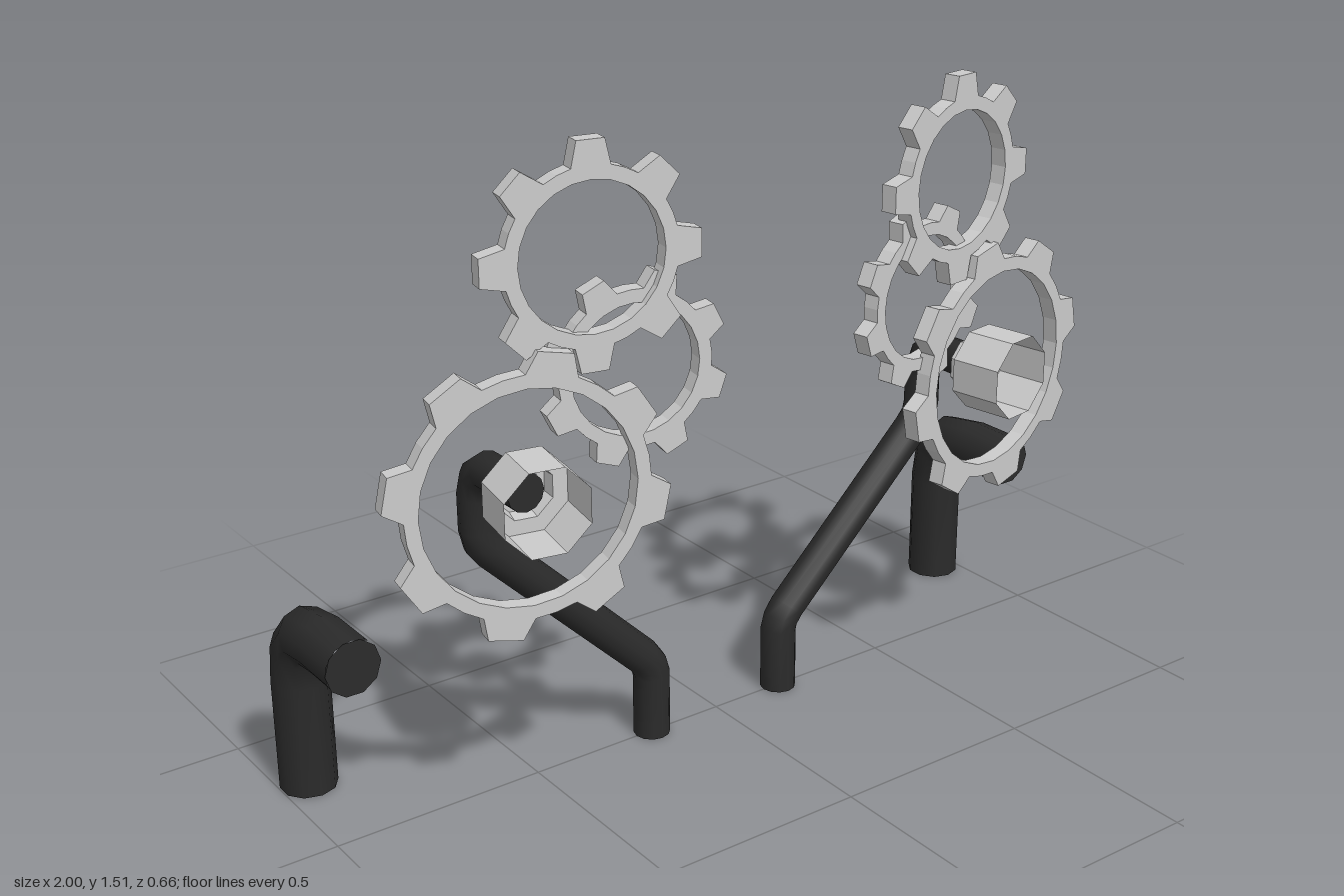
import * as THREE from 'three';

const TILT = THREE.MathUtils.degToRad(10);
const grey = new THREE.MeshStandardMaterial({ color: 0xcccccc, flatShading: true, side: THREE.DoubleSide });
const dark = new THREE.MeshStandardMaterial({ color: 0x2b2b2b });

// Curve through given points, with one tube ring at each point
class Bend extends THREE.Curve {
  constructor(points) {
    super();
    this.points = points.map(p => new THREE.Vector3(...p));
  }
  getPoint(t) {
    return this.points[Math.round(t * (this.points.length - 1))].clone();
  }
  getPointAt(t) {
    return this.getPoint(t);
  }
  getTangentAt(t) {
    const p = this.points, i = Math.round(t * (p.length - 1));
    const dir = (a, b) => b.clone().sub(a).normalize();
    const v = new THREE.Vector3();
    if (i > 0) v.add(dir(p[i - 1], p[i]));
    if (i < p.length - 1) v.add(dir(p[i], p[i + 1]));
    return v.normalize();
  }
}

// Round bent bar with capped ends
function pipe(name, points, radius, sides) {
  const group = new THREE.Group();
  group.name = name;
  const curve = new Bend(points), n = points.length - 1;
  const bar = new THREE.Mesh(new THREE.TubeGeometry(curve, n, radius, sides), dark);
  bar.name = name + 'Bar';
  group.add(bar);
  for (const t of [0, 1]) {
    const cap = new THREE.Mesh(new THREE.CircleGeometry(radius, sides), dark);
    const out = curve.getTangentAt(t).multiplyScalar(t ? 1 : -1);
    cap.name = name + 'Cap';
    cap.position.copy(curve.getPoint(t));
    cap.quaternion.setFromUnitVectors(new THREE.Vector3(0, 0, 1), out);
    group.add(cap);
  }
  return group;
}

// Open ring gear with eight tapered teeth
function gear(name, [x, y, z], { tip, root, hole, tipWidth, rootWidth, phase }) {
  const teeth = 8, depth = 0.038, pts = [];
  for (let i = 0; i < teeth; i++) {
    const a = THREE.MathUtils.degToRad(phase) + i / teeth * Math.PI * 2;
    const at = (r, da) => pts.push(new THREE.Vector2(r * Math.cos(a + da), r * Math.sin(a + da)));
    const b = rootWidth / 2 / root, c = tipWidth / 2 / tip;
    at(root, -b);
    at(tip, -c);
    at(tip, c);
    at(root, b);
    at(root, Math.PI / teeth);
  }
  const shape = new THREE.Shape(pts);
  const bore = new THREE.Path();
  bore.absarc(0, 0, hole, 0, Math.PI * 2, true);
  shape.holes.push(bore);
  const geometry = new THREE.ExtrudeGeometry(shape, { depth, bevelEnabled: false, curveSegments: 12 });
  geometry.translate(0, 0, -depth / 2);
  const mesh = new THREE.Mesh(geometry, grey);
  mesh.name = name;
  mesh.position.set(x, y, z);
  mesh.rotation.y = TILT;
  return mesh;
}

// Eight-sided open cup with a narrower collar behind it
function hub() {
  const profile = [[0.043, -0.035], [0.06, -0.035], [0.065, 0], [0.1, 0], [0.1, 0.125]]
    .map(p => new THREE.Vector2(...p));
  const geometry = new THREE.LatheGeometry(profile, 8, Math.PI / 8);
  geometry.rotateX(Math.PI / 2);
  const mesh = new THREE.Mesh(geometry, grey);
  mesh.name = 'hub';
  mesh.position.set(0.622, 0.79, 0.192);
  mesh.rotation.y = TILT;
  return mesh;
}

// Everything on the model's left (+x)
function buildSide() {
  const side = new THREE.Group();
  side.add(
    gear('largeGear', [0.637, 0.795, 0.225],
      { tip: 0.31, root: 0.265, hole: 0.235, tipWidth: 0.078, rootWidth: 0.115, phase: 12 }),
    gear('middleGear', [0.387, 1.02, 0.238],
      { tip: 0.208, root: 0.17, hole: 0.142, tipWidth: 0.052, rootWidth: 0.075, phase: 19 }),
    gear('topGear', [0.485, 1.272, 0.238],
      { tip: 0.238, root: 0.187, hole: 0.157, tipWidth: 0.06, rootWidth: 0.085, phase: 0 }),
    hub(),
    pipe('gearArm', [
      [0.187, 0, 0], [0.187, 0.155, 0], [0.194, 0.18, 0], [0.212, 0.205, 0],
      [0.595, 0.58, 0], [0.617, 0.607, 0], [0.625, 0.64, 0], [0.625, 0.72, 0],
      [0.625, 0.765, 0.015], [0.625, 0.788, 0.05], [0.625, 0.79, 0.2],
    ], 0.043, 12),
    pipe('sidePost', [
      [0.935, 0, -0.267], [0.935, 0.27, -0.267], [0.935, 0.35, -0.257],
      [0.935, 0.393, -0.215], [0.935, 0.405, -0.13], [0.935, 0.405, 0],
    ], 0.065, 10),
  );
  return side;
}

export function createModel() {
  const model = new THREE.Group();
  model.name = 'gearStand';
  const left = buildSide();
  left.name = 'leftSide';
  // Mirrored copy for the right
  const right = buildSide();
  right.name = 'rightSide';
  right.scale.x = -1;
  model.add(left, right);
  return model;
}
